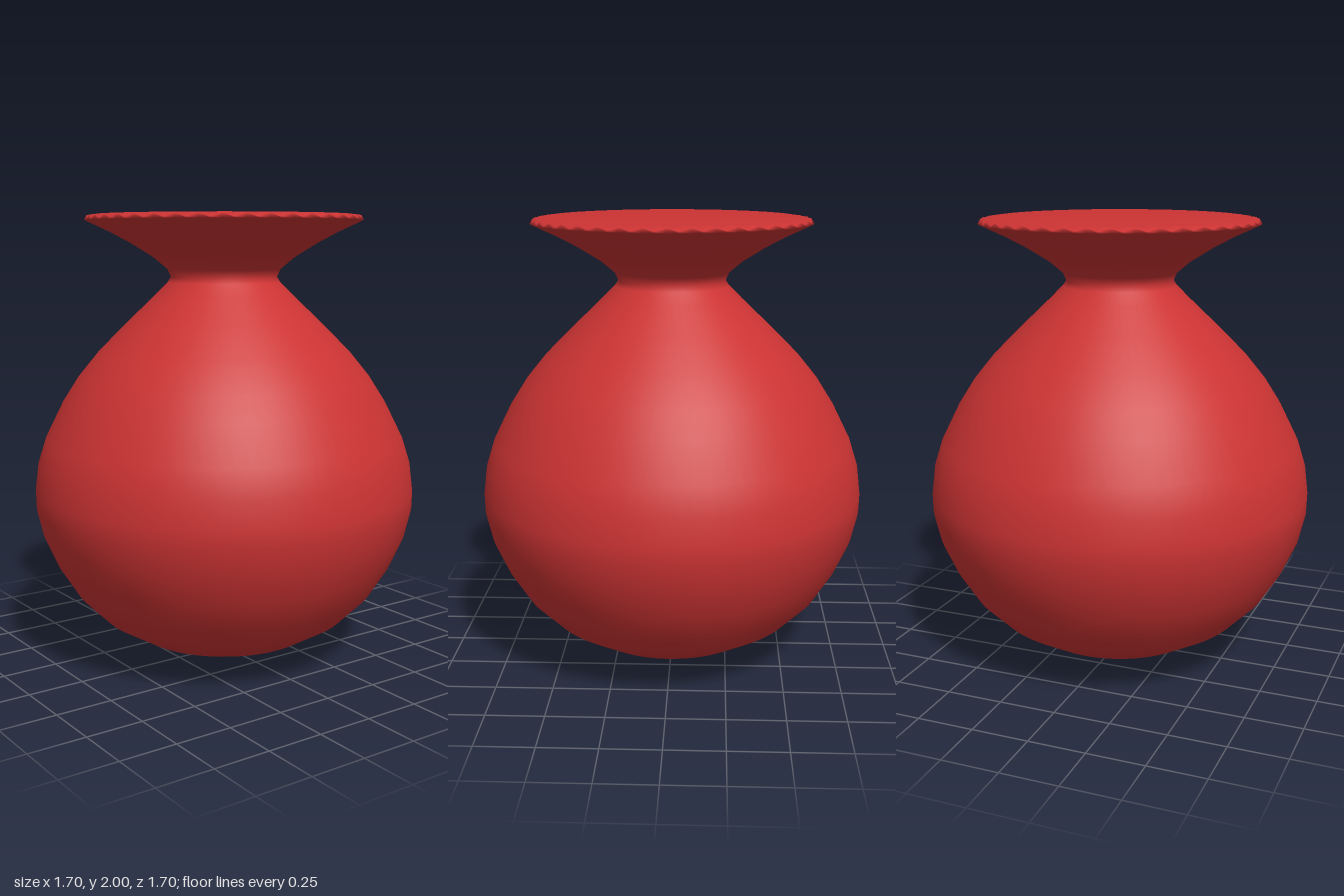
import * as THREE from 'three';
import { mergeVertices } from 'three/addons/utils/BufferGeometryUtils.js';

// Half outline of the closed vase, from the bottom tip to the middle of the lid
const profile = [
  [0, 0], [0.2, 0.03], [0.4, 0.1], [0.56, 0.195], [0.675, 0.31], [0.76, 0.445],
  [0.82, 0.58], [0.848, 0.7], [0.85, 0.78], [0.835, 0.9], [0.8, 1.01], [0.72, 1.17],
  [0.65, 1.28], [0.56, 1.39], [0.43, 1.52], [0.31, 1.635], [0.25, 1.695], [0.235, 1.718],
  [0.25, 1.752], [0.31, 1.803], [0.41, 1.865], [0.5, 1.913], [0.612, 1.965],
  [0.6, 1.985], [0.56, 1.99], [0, 2],
];
const SEGMENTS = 80;
const RIM = 23; // profile index of the fluted ring

export function createModel() {
  const group = new THREE.Group();
  group.name = 'vase';

  let geometry = new THREE.LatheGeometry(profile.map(([r, y]) => new THREE.Vector2(r, y)), SEGMENTS);

  // Lower every other vertex of the rim ring for the small flutes around the lid
  const pos = geometry.attributes.position;
  for (let i = 1; i < SEGMENTS; i += 2) {
    pos.setY(i * profile.length + RIM, 1.971);
  }

  // Weld the seam and shade smoothly
  geometry.deleteAttribute('uv');
  geometry.deleteAttribute('normal');
  geometry = mergeVertices(geometry);
  geometry.computeVertexNormals();

  const body = new THREE.Mesh(geometry, new THREE.MeshStandardMaterial({ color: 0xcc3333 }));
  body.name = 'vaseBody';
  group.add(body);
  return group;
}
